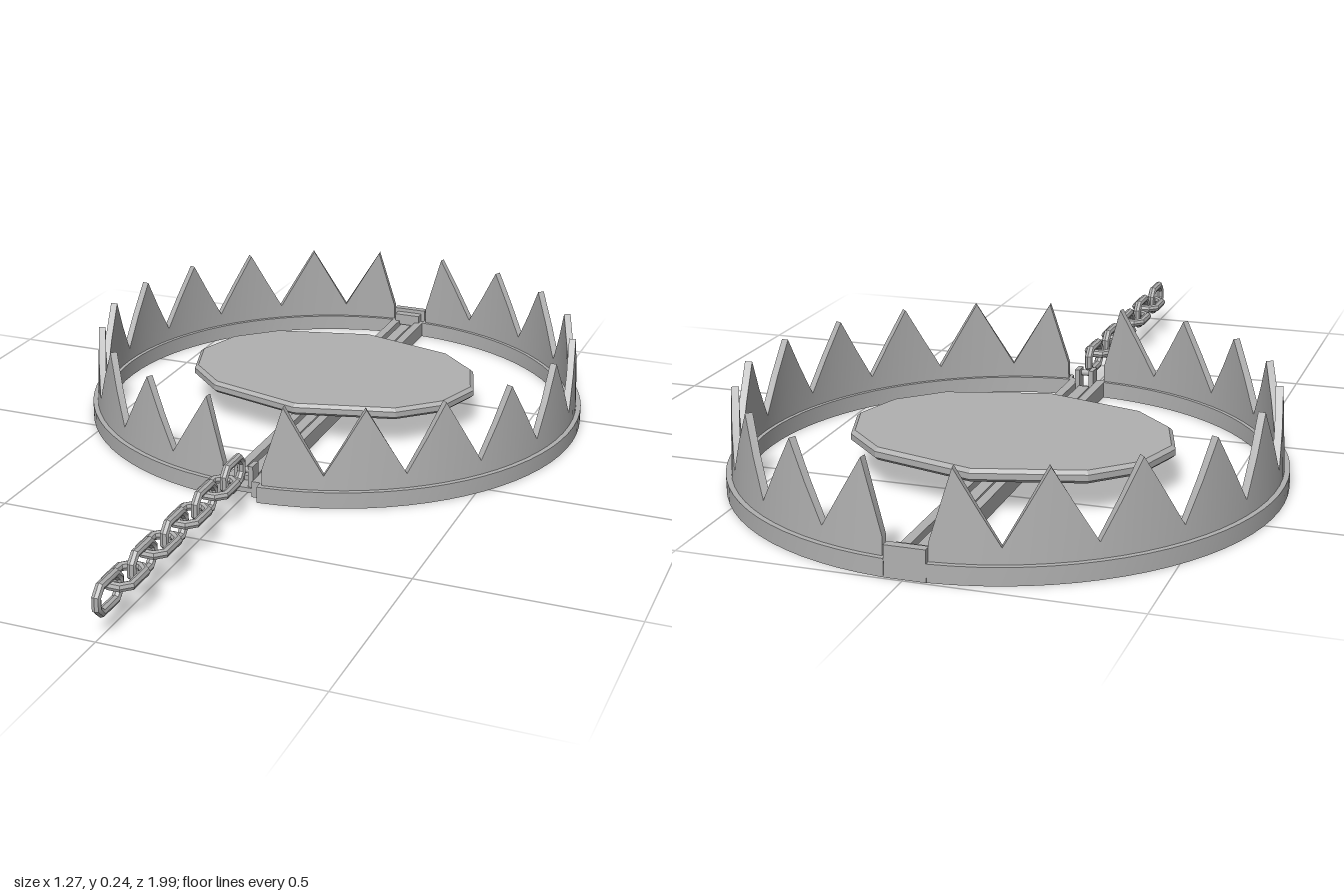
import * as THREE from 'three';
import { toCreasedNormals } from 'three/addons/utils/BufferGeometryUtils.js';

const CENTRE_Z = -0.36;
const steel = new THREE.MeshStandardMaterial({ color: 0xb0b0b0 });
steel.name = 'steel';

function add(parent, name, geometry, x = 0, y = 0, z = 0) {
  const mesh = new THREE.Mesh(geometry, steel);
  mesh.name = name;
  mesh.position.set(x, y, z);
  parent.add(mesh);
  return mesh;
}

function box(parent, name, x0, x1, y0, y1, z0, z1) {
  return add(parent, name, new THREE.BoxGeometry(x1 - x0, y1 - y0, z1 - z0),
    (x0 + x1) / 2, (y0 + y1) / 2, (z0 + z1) / 2);
}

// Sweep a four-cornered section [radius, y] around the y axis
function arcSweep(angles, section) {
  const positions = [], index = [], n = angles.length;
  for (const deg of angles) {
    const a = THREE.MathUtils.degToRad(deg);
    for (const [r, y] of section(deg)) positions.push(r * Math.sin(a), y, r * Math.cos(a));
  }
  for (let i = 0; i < n - 1; i++) {
    for (let j = 0; j < 4; j++) {
      const a = i * 4 + j, b = i * 4 + (j + 1) % 4;
      index.push(a, a + 4, b + 4, a, b + 4, b);
    }
  }
  const e = (n - 1) * 4;
  index.push(0, 1, 2, 0, 2, 3, e, e + 2, e + 1, e, e + 3, e + 2);
  const g = new THREE.BufferGeometry();
  g.setAttribute('position', new THREE.Float32BufferAttribute(positions, 3));
  g.setIndex(index);
  return toCreasedNormals(g, 0.5);
}

// One half ring with its row of ten teeth
function createJaw() {
  const jaw = new THREE.Group();
  const angles = [];
  for (let a = 4.5; a <= 175.5; a += 4.5) angles.push(a);
  add(jaw, 'jawBase', arcSweep([3.8, ...angles, 176.2], () =>
    [[0.636, 0], [0.636, 0.04], [0.597, 0.04], [0.597, 0]]));
  add(jaw, 'teeth', arcSweep(angles, (a) => {
    const end = a === 4.5 || a === 175.5;
    const t = Math.abs((a % 18) - 9) / 9;
    const y = end ? 0.08 : 0.237 - 0.162 * t;
    const lean = 0.05 * (y - 0.035);
    return [[0.624, 0.035], [0.624 - lean, y], [0.607 - lean, y], [0.607, 0.035]];
  }));
  return jaw;
}

// Twelve-sided pressure plate with a narrow chamfer at the top
function createPlate() {
  const corners = [0, 25.8, 49.7, 90, 130.3, 154.2, 180, 205.8, 229.7, 270, 310.3, 334.2];
  const shape = new THREE.Shape(corners.map((d) => {
    const a = THREE.MathUtils.degToRad(d);
    return new THREE.Vector2(0.372 * Math.cos(a), 0.272 * Math.sin(a));
  }));
  const g = new THREE.ExtrudeGeometry(shape, {
    depth: 0.014, bevelEnabled: true, bevelSegments: 1, bevelSize: 0.009, bevelThickness: 0.008,
  });
  return g.rotateX(-Math.PI / 2);
}

// Eight-cornered chain link, stretched along z and lying flat
function createLinkGeometry() {
  const g = new THREE.TorusGeometry(0.032, 0.0105, 8, 8);
  g.rotateZ(Math.PI / 8).rotateX(Math.PI / 2);
  const p = g.attributes.position;
  for (let i = 0; i < p.count; i++) p.setZ(i, p.getZ(i) + Math.sign(p.getZ(i)) * 0.02);
  return toCreasedNormals(g, 0.6);
}

export function createModel() {
  const model = new THREE.Group();
  model.name = 'jawTrap';

  // Jaws
  for (const [name, turn] of [['leftJaw', 0], ['rightJaw', Math.PI]]) {
    const jaw = createJaw();
    jaw.name = name;
    jaw.position.z = CENTRE_Z;
    jaw.rotation.y = turn;
    model.add(jaw);
  }

  // Channel bar across the ring
  const bar = new THREE.Group();
  bar.name = 'crossBar';
  bar.position.x = -0.004;
  model.add(bar);
  for (const s of [-1, 1]) {
    box(bar, 'barRail', s * 0.034 - 0.011, s * 0.034 + 0.011, 0, 0.04, -0.97, 0.25);
  }
  box(bar, 'barFloor', -0.024, 0.024, 0.01, 0.022, -0.97, 0.25);
  box(bar, 'barRib', -0.014, 0.014, 0.02, 0.034, -0.94, 0.21);

  // End fittings
  box(bar, 'rearPlate', -0.045, 0.045, 0, 0.07, -0.995, -0.975);
  box(bar, 'rearHinge', -0.035, 0.035, 0.03, 0.06, -0.976, -0.95);
  for (const s of [-1, 1]) {
    box(bar, 'frontLug', s * 0.018 - 0.006, s * 0.018 + 0.006, 0.02, 0.075, 0.21, 0.245);
  }
  const pin = add(bar, 'chainPin', new THREE.CylinderGeometry(0.008, 0.008, 0.048, 8), 0, 0.062, 0.235);
  pin.rotation.z = Math.PI / 2;

  // Pressure plate on a short post
  add(model, 'pressurePlate', createPlate(), -0.008, 0.085, CENTRE_Z);
  box(model, 'platePost', -0.022, 0.014, 0.02, 0.08, CENTRE_Z - 0.02, CENTRE_Z + 0.02);

  // Chain of alternating upright and flat links
  const chain = new THREE.Group();
  chain.name = 'chain';
  model.add(chain);
  const link = createLinkGeometry();
  for (let i = 0; i < 9; i++) {
    const mesh = add(chain, 'chainLink', link, 0, 0.082, 0.315 + i * 0.078);
    if (i % 2 === 0) mesh.rotation.z = Math.PI / 2;
  }
  return model;
}
